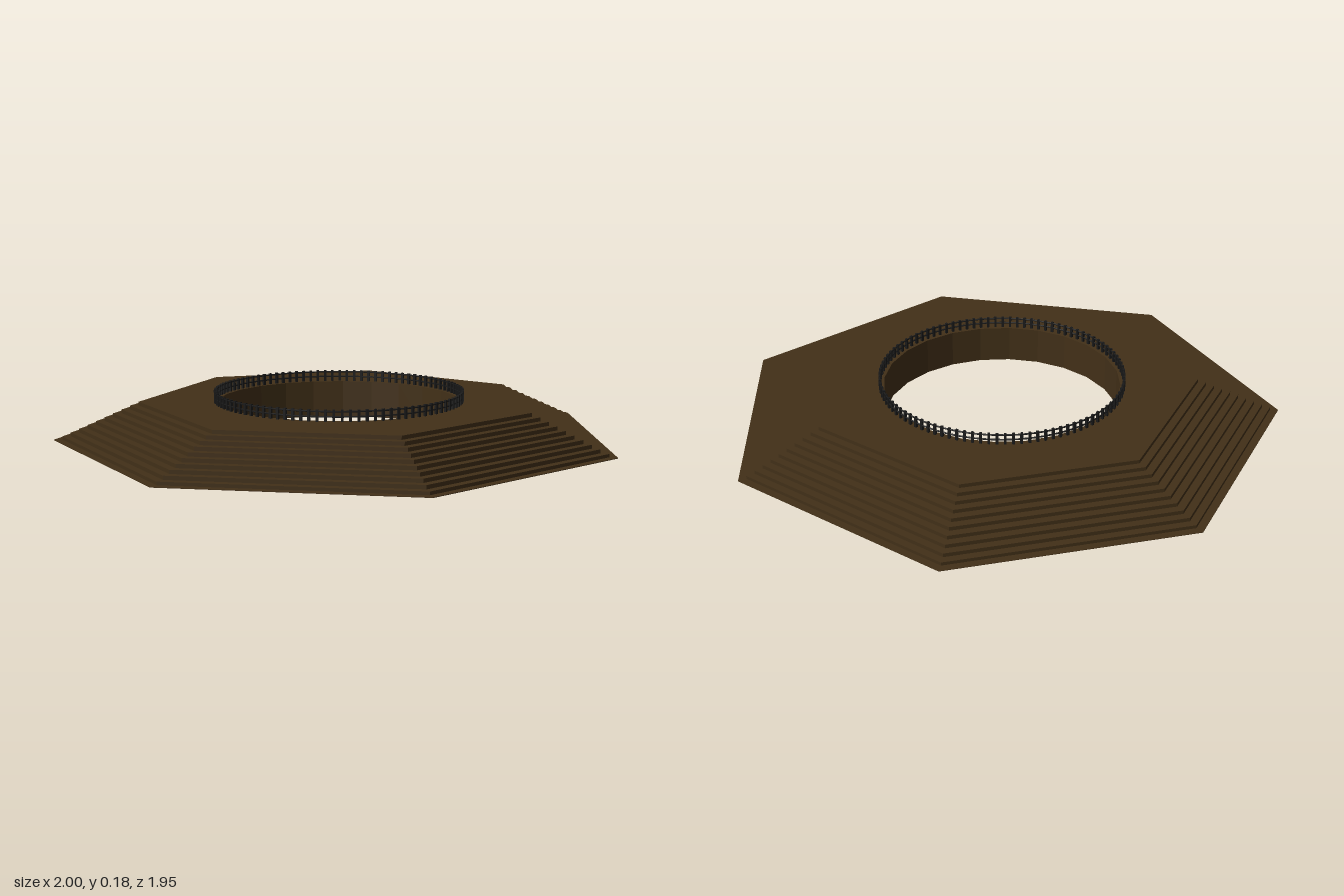
import * as THREE from 'three';
import { mergeGeometries } from 'three/addons/utils/BufferGeometryUtils.js';

const SIDES = 7, STEPS = 10, HOLE_SIDES = 24, POSTS = 99;
const BASE_R = 1.0257, TOP_R = 0.72, BASE_Y = 0.002, DECK_Y = 0.137;
const HOLE_R = 0.433, RAIL_R = 0.446, POST_TOP = 0.178;

const stone = new THREE.MeshStandardMaterial({ color: 0x423018, flatShading: true });
const innerStone = stone.clone();
innerStone.side = THREE.BackSide;
const iron = new THREE.MeshStandardMaterial({ color: 0x1a1a1a });

function add(parent, name, geometry, material) {
  const mesh = new THREE.Mesh(geometry, material);
  mesh.name = name;
  parent.add(mesh);
  return mesh;
}

// corners of a regular polygon, start angle measured from +y
function corners(n, r, start) {
  return Array.from({ length: n }, (_, i) => {
    const a = start + (i / n) * Math.PI * 2;
    return new THREE.Vector2(Math.sin(a) * r, Math.cos(a) * r);
  });
}

// flat heptagon with the round opening, facing up or down
function plate(r, up) {
  const shape = new THREE.Shape(corners(SIDES, r, up ? 0 : Math.PI));
  shape.holes.push(new THREE.Path(corners(HOLE_SIDES, HOLE_R, Math.PI / HOLE_SIDES)));
  return new THREE.ShapeGeometry(shape).rotateX(up ? -Math.PI / 2 : Math.PI / 2);
}

export function createModel() {
  const model = new THREE.Group();
  model.name = 'steppedPlatform';
  const body = new THREE.Group();
  body.position.z = 0.05;
  model.add(body);

  // stair profile swept round seven sides, one corner at the back; thin base edge below
  const profile = [new THREE.Vector2(BASE_R, 0), new THREE.Vector2(BASE_R, BASE_Y)];
  for (let i = 1; i <= STEPS; i++) {
    const r = BASE_R + (TOP_R - BASE_R) * (i / STEPS);
    profile.push(new THREE.Vector2(r, Math.max(BASE_Y, DECK_Y * (i - 1) / STEPS)));
    profile.push(new THREE.Vector2(r, DECK_Y * i / STEPS));
  }
  const stairs = new THREE.LatheGeometry(profile, SIDES, Math.PI).toNonIndexed();
  stairs.computeVertexNormals();
  add(body, 'stairs', stairs, stone);

  // deck, underside and inward-facing wall of the opening
  add(body, 'deck', plate(TOP_R, true), stone).position.y = DECK_Y;
  add(body, 'underside', plate(BASE_R, false), stone);
  const wall = new THREE.CylinderGeometry(HOLE_R, HOLE_R, DECK_Y, HOLE_SIDES, 1, true, Math.PI / HOLE_SIDES);
  add(body, 'openingWall', wall, innerStone).position.y = DECK_Y / 2;

  // railing round the opening: two thin rails and a ring of posts
  const railing = new THREE.Group();
  railing.name = 'railing';
  body.add(railing);
  for (const [name, y] of [['topRail', 0.172], ['middleRail', 0.154]]) {
    const ring = new THREE.TorusGeometry(RAIL_R, 0.003, 6, POSTS).rotateX(Math.PI / 2);
    add(railing, name, ring, iron).position.y = y;
  }
  const posts = [];
  const h = POST_TOP - DECK_Y;
  for (let i = 0; i < POSTS; i++) {
    posts.push(new THREE.BoxGeometry(0.009, h, 0.009)
      .translate(0, DECK_Y + h / 2, RAIL_R)
      .rotateY((i / POSTS) * Math.PI * 2));
  }
  add(railing, 'railingPosts', mergeGeometries(posts), iron);

  return model;
}
